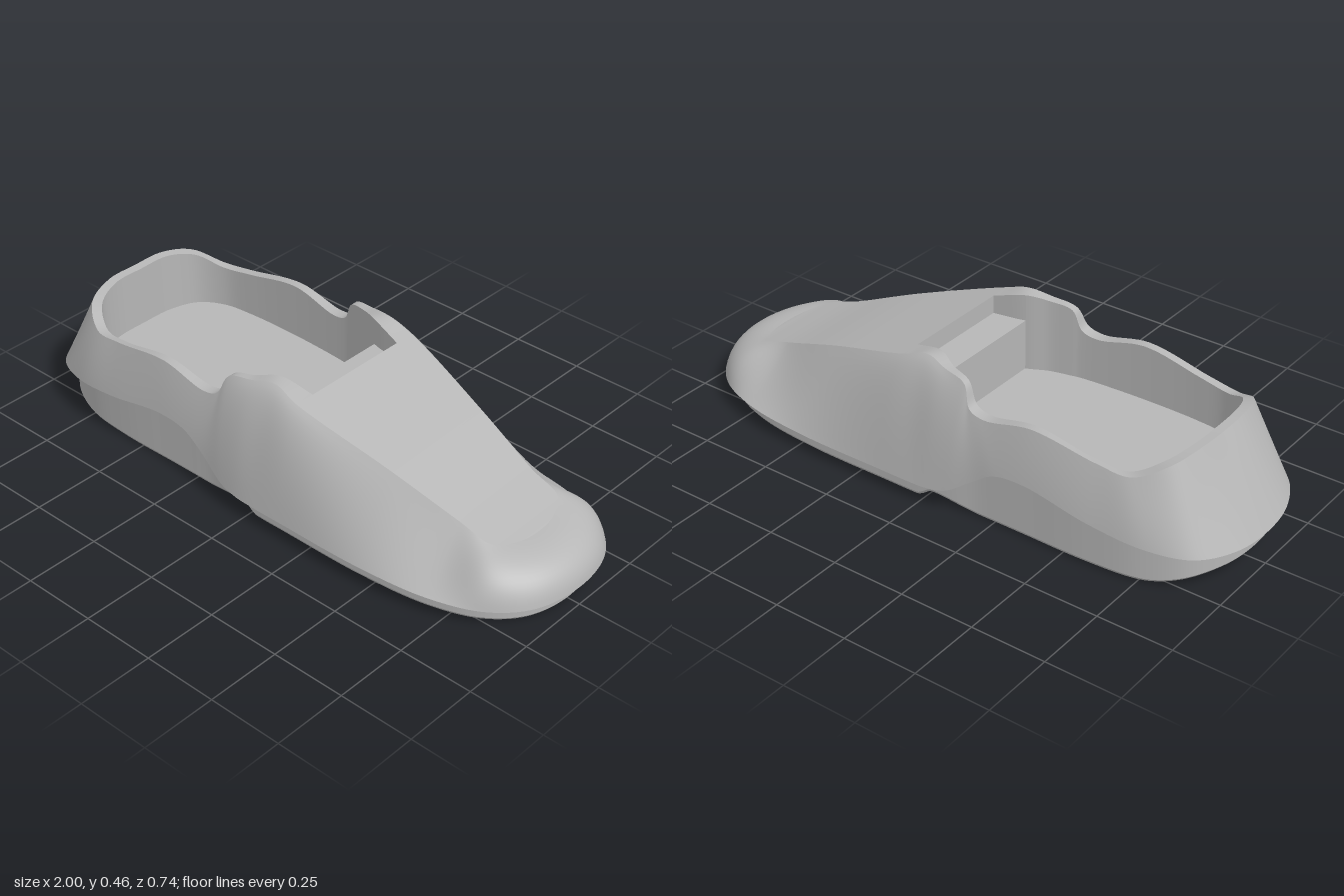
import * as THREE from 'three';

const SUB = 8; // samples between neighbouring control rows

// Half rails run from heel centre to toe centre on the +z side: x, y, z per row.
const BASE = [
  -1, .113, 0, -.98, .116, .145, -.91, .125, .265, -.78, .14, .325,
  -.6, .165, .345, -.38, .203, .345, -.27, .192, .345, -.19, .14, .347,
  -.1, .08, .36, -.03, .066, .367, .04, .065, .37, .15, .065, .37, .47, .065, .367,
  .71, .065, .337, .87, .065, .272, .965, .065, .165, 1, .067, 0];
const BULGE = [
  -.92, .26, 0, -.9, .26, .135, -.855, .25, .245, -.75, .24, .315,
  -.6, .25, .33, -.38, .29, .333, -.24, .27, .335, -.175, .25, .34,
  -.115, .31, .345, -.04, .38, .338, .04, .415, .322, .15, .37, .325, .46, .2, .3,
  .69, .135, .25, .84, .17, .262, .955, .172, .14, .99, .17, 0];
const RIDGE = [
  -.84, .4, 0, -.835, .4, .12, -.8, .378, .225, -.71, .336, .287,
  -.6, .345, .3, -.38, .379, .31, -.21, .347, .312, -.155, .362, .308,
  -.122, .427, .288, -.04, .444, .274, .04, .457, .256, .13, .427, .26, .45, .32, .21,
  .68, .232, .17, .79, .197, .155, .83, .186, .08, .84, .183, 0];
// Inner edge of the collar, ending at the throat notch.
const OPENING = [
  -.81, .398, 0, -.805, .397, .12, -.77, .375, .21, -.69, .335, .262,
  -.58, .344, .278, -.38, .378, .282, -.21, .346, .275, -.155, .361, .27,
  -.122, .426, .263, -.05, .442, .245, .02, .455, .212, .13, .427, .19];
const FLOOR_Y = .19, LEDGE_Y = .365, RECESS_Y = .035;

const V = (x, y, z) => new THREE.Vector3(x, y, z);
const mirror = p => V(p.x, p.y, -p.z);

function rows(list) {
  const out = [];
  for (let i = 0; i < list.length; i += 3) out.push(V(list[i], list[i + 1], list[i + 2]));
  return out;
}

// Smooth closed loop: heel, +z side, toe, -z side
function closedRail(list) {
  const half = rows(list);
  const back = half.slice(1, -1).reverse().map(mirror);
  const pts = [...half, ...back];
  const curve = new THREE.CatmullRomCurve3(pts, true);
  const n = pts.length * SUB;
  return Array.from({ length: n }, (_, i) => curve.getPoint(i / n));
}

// Smooth open rail: -z end, heel, +z end
function openRail(list) {
  const half = rows(list);
  const pts = [...half.slice(1).reverse().map(mirror), ...half];
  return new THREE.CatmullRomCurve3(pts).getPoints((pts.length - 1) * SUB);
}

// Surface stretched over rails of equal length
function skin(rails, closed = false) {
  const n = rails[0].length, index = [];
  for (let r = 0; r < rails.length - 1; r++) {
    for (let j = 0; j < (closed ? n : n - 1); j++) {
      const k = (j + 1) % n;
      const a = r * n + j, b = r * n + k, c = a + n, d = b + n;
      index.push(a, b, c, b, d, c);
    }
  }
  const geo = new THREE.BufferGeometry().setFromPoints(rails.flat());
  geo.setIndex(index);
  geo.computeVertexNormals();
  return geo;
}

export function createModel() {
  const model = new THREE.Group();
  const grey = new THREE.MeshStandardMaterial({ color: 0xb6b6b6, side: THREE.DoubleSide });
  grey.name = 'grey';
  const add = (name, geo) => {
    const mesh = new THREE.Mesh(geo, grey);
    mesh.name = name;
    model.add(mesh);
  };

  const base = closedRail(BASE), bulge = closedRail(BULGE), ridge = closedRail(RIDGE);
  const n = base.length, half = n / 2;

  // Upper: curved wall from the lower edge to the ridge
  const wall = [];
  for (let s = 0; s <= 12; s++) {
    wall.push(base.map((p, i) =>
      new THREE.QuadraticBezierCurve3(p, bulge[i], ridge[i]).getPoint(s / 12)));
  }
  add('upper', skin(wall, true));

  // Vamp: flat top running from the throat to the toe
  const throat = 11 * SUB;
  const vampLeft = ridge.slice(throat, half + 1);
  add('vamp', skin([vampLeft, vampLeft.map(mirror)]));

  // Collar rim and inner walls
  const opening = openRail(OPENING);
  const outerRim = opening.map((_, i) => ridge[(i - throat + n) % n]);
  add('collarRim', skin([outerRim, opening]));
  const inner = opening.slice(SUB, -SUB);
  const foot = inner.map(p => V(p.x, FLOOR_Y, p.z));
  add('innerWall', skin([inner, foot]));

  // Insole, spanning both sides of the opening
  const mid = (foot.length - 1) / 2;
  const footLeft = foot.slice(mid);
  add('insole', skin([footLeft, footLeft.map(mirror)]));

  // Throat: front wall, ledge and notch walls
  const atY = (p, y) => V(p.x, y, p.z);
  const ear = opening.slice(-SUB - 1);
  const earLow = ear.map(p => atY(p, LEDGE_Y));
  const first = ear[0], last = ear[SUB];
  const across = (p, y) => [atY(p, y), mirror(atY(p, y))];
  add('openingFront', skin([across(first, LEDGE_Y), across(first, FLOOR_Y)]));
  add('throatLedge', skin([earLow, earLow.map(mirror)]));
  add('throatFront', skin([across(last, last.y), across(last, LEDGE_Y)]));
  add('throatSideLeft', skin([ear, earLow]));
  add('throatSideRight', skin([earLow.map(mirror), ear.map(mirror)]));

  // Sole: inset wall and rounded rim, with an arch notch and a raised heel edge
  const { smoothstep } = THREE.MathUtils;
  const lift = x => .042 * smoothstep(-x, .78, 1.02) + (x < -.03
    ? .028 * smoothstep(x, -.22, -.03)
    : .028 * (1 - smoothstep(x, -.03, .03)));
  const soleRail = (sx, sz, y) => base.map(p => V(p.x * sx, y(p), p.z * sz));
  const soleTop = soleRail(.965, .912, p => p.y);
  const soleLow = soleRail(.964, .91, p => lift(p.x) + .012);
  const soleRound = soleRail(.958, .9, p => lift(p.x) + .004);
  const soleRim = soleRail(.945, .875, p => lift(p.x));
  const rimInner = soleRail(.925, .835, p => lift(p.x));
  const recess = soleRail(.92, .825, () => RECESS_Y);
  add('upperLip', skin([soleTop, base], true));
  add('soleWall', skin([soleLow, soleTop], true));
  add('soleRim', skin([rimInner, soleRim, soleRound, soleLow], true));

  // Recessed flat underside inside the rim
  add('recessWall', skin([recess, rimInner], true));
  const bottomLeft = recess.slice(0, half + 1);
  add('soleBottom', skin([bottomLeft.map(mirror), bottomLeft]));

  return model;
}
